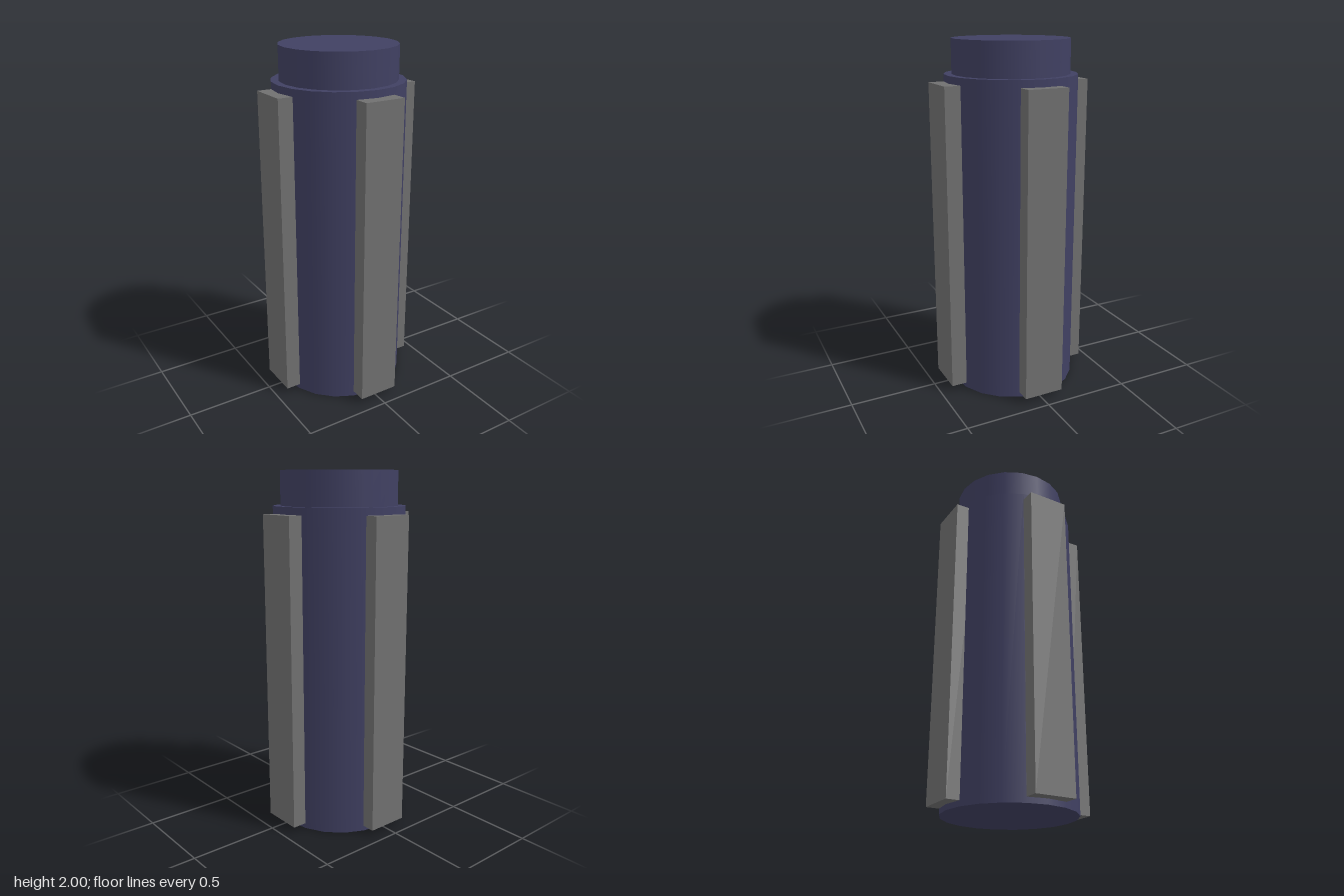
import * as THREE from 'three';

export function createModel() {
  const group = new THREE.Group();
  const blue = new THREE.MeshStandardMaterial({ color: 0x404062 });
  const grey = new THREE.MeshStandardMaterial({ color: 0x707070 });
  const centerX = 0.001, centerZ = -0.009;

  const add = (name, geometry, material, x, y, z) => {
    const mesh = new THREE.Mesh(geometry, material);
    mesh.name = name;
    mesh.position.set(x, y, z);
    group.add(mesh);
    return mesh;
  };

  // Twenty-sided smooth barrel with a narrower cap on top
  const drum = (name, radius, y0, y1) =>
    add(name, new THREE.CylinderGeometry(radius, radius, y1 - y0, 20), blue, centerX, (y0 + y1) / 2, centerZ);
  drum('body', 0.371, 0, 1.81);
  drum('cap', 0.328, 1.81, 2);

  // Four upright ribs, sunk into the barrel wall
  const inner = 0.3, outer = 0.434, bottom = 0.03, top = 1.77;
  const rib = new THREE.BoxGeometry(0.234, top - bottom, outer - inner);
  const middle = (inner + outer) / 2;
  ['frontRib', 'leftRib', 'backRib', 'rightRib'].forEach((name, i) => {
    const angle = (i * Math.PI) / 2;
    const sideways = i % 2 === 1;
    const mesh = add(name, rib, grey,
      Math.sin(angle) * middle + (sideways ? 0 : 0.002),
      (bottom + top) / 2,
      Math.cos(angle) * middle + (sideways ? -0.006 : -0.002));
    mesh.rotation.y = angle;
  });

  return group;
}
